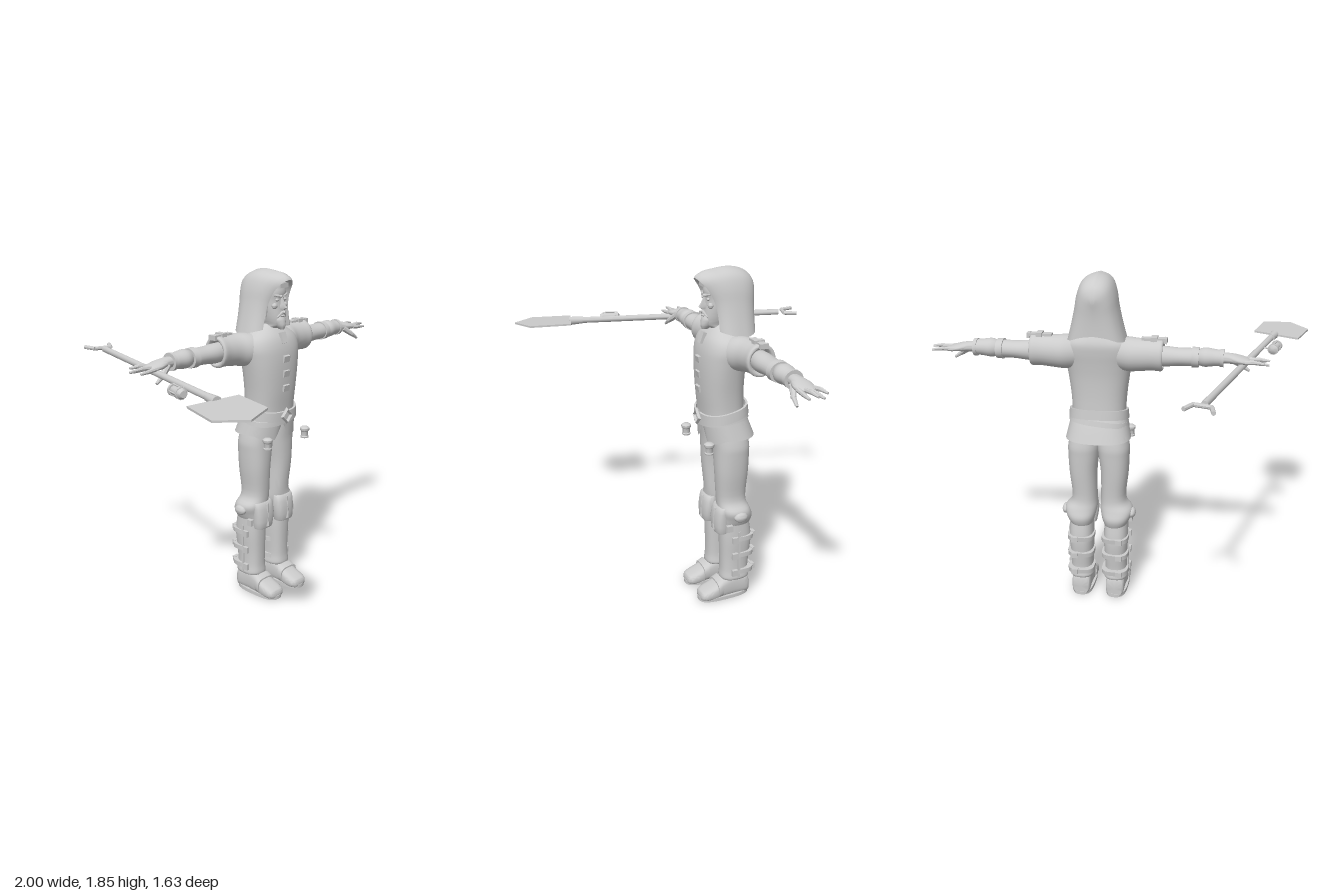
import * as THREE from 'three';
import { toCreasedNormals } from 'three/addons/utils/BufferGeometryUtils.js';

const V = (x, y, z) => new THREE.Vector3(x, y, z);

// Skin a list of rings (each a list of [x, y, z]); winding is set so faces point outward
function loft(rings, caps = true, closed = true) {
  const n = rings[0].length, pos = rings.flat(), idx = [];
  for (let r = 0; r < rings.length - 1; r++)
    for (let i = 0; i < (closed ? n : n - 1); i++) {
      const j = (i + 1) % n, a = r * n + i, b = r * n + j;
      idx.push([a, b, a + n], [b, b + n, a + n]);
    }
  if (caps) [0, rings.length - 1].forEach((r) => {
    const c = [0, 1, 2].map((k) => rings[r].reduce((s, p) => s + p[k], 0) / n);
    const ci = pos.push(c) - 1;
    for (let i = 0; i < n; i++) {
      const a = r * n + i, b = r * n + (i + 1) % n;
      idx.push(r ? [a, b, ci] : [b, a, ci]);
    }
  });
  const mid = new THREE.Vector3();
  pos.forEach((p) => mid.add(V(...p).divideScalar(pos.length)));
  const rel = pos.map((p) => V(...p).sub(mid));
  const vol = idx.reduce((s, [a, b, c]) => s + rel[a].dot(rel[b].clone().cross(rel[c])), 0);
  const g = new THREE.BufferGeometry();
  g.setAttribute('position', new THREE.Float32BufferAttribute(pos.flat(), 3));
  g.setIndex(idx.flatMap((t) => (vol < 0 ? [t[0], t[2], t[1]] : t)));
  return g;
}

// Catmull-Rom interpolation between rows of numbers
function smooth(rows, k = 4) {
  const out = [], at = (i) => rows[Math.max(0, Math.min(rows.length - 1, i))];
  for (let i = 0; i < rows.length - 1; i++)
    for (let s = 0; s < k; s++) {
      const t = s / k;
      out.push(rows[i].map((b, c) => {
        const a = at(i - 1)[c], d = at(i + 1)[c], e = at(i + 2)[c];
        return b + 0.5 * t * (d - a + t * (2 * a - 5 * b + 4 * d - e + t * (3 * (b - d) + e - a)));
      }));
    }
  out.push(at(rows.length - 1));
  return out;
}

// Rows are [position on axis, min, max, min, max] of the two other axes; p > 2 is boxier
function tube(axis, rows, p = 2, n = 28, k = 4, caps = true) {
  const f = (v) => Math.sign(v) * Math.abs(v) ** (2 / p);
  return loft((k > 1 ? smooth(rows, k) : rows).map(([t, a0, a1, b0, b1]) =>
    Array.from({ length: n }, (_, i) => {
      const w = (i / n) * Math.PI * 2;
      const a = (a0 + a1) / 2 + f(Math.cos(w)) * (a1 - a0) / 2;
      const b = (b0 + b1) / 2 + f(Math.sin(w)) * (b1 - b0) / 2;
      return axis === 'x' ? [t, a, b] : axis === 'y' ? [a, t, b] : [a, b, t];
    })), caps);
}
// Round tube along x: rows are [x, y, z, radiusY, radiusZ]
const arm = (rows, k = 4) => tube('x', rows.map(([x, y, z, r, q = r]) => [x, y - r, y + r, z - q, z + q]), 2, 24, k);
// Symmetric tube along y: rows are [y, halfWidth, zBack, zFront]
const trunk = (rows, p, n, k, caps) => tube('y', rows.map(([y, w, b, f]) => [y, -w, w, b, f]), p, n, k, caps);

function rod(a, b, r0, r1 = r0, sides = 12) {
  const d = b.clone().sub(a);
  const g = new THREE.CylinderGeometry(r1, r0, d.length(), sides);
  g.applyQuaternion(new THREE.Quaternion().setFromUnitVectors(V(0, 1, 0), d.normalize()));
  return g.translate((a.x + b.x) / 2, (a.y + b.y) / 2, (a.z + b.z) / 2);
}
const box = (w, h, d, x, y, z, rx = 0, rz = 0) =>
  new THREE.BoxGeometry(w, h, d).rotateX(rx).rotateZ(rz).translate(x, y, z);
const ball = (rx, ry, rz, x, y, z) => new THREE.SphereGeometry(1, 16, 12).scale(rx, ry, rz).translate(x, y, z);

function warp(g, rule) {
  const p = g.attributes.position;
  for (let i = 0; i < p.count; i++) p.setXYZ(i, ...rule(p.getX(i), p.getY(i), p.getZ(i)));
  return g;
}
function mirror(g) {
  const m = g.index ? g.toNonIndexed() : g.clone(), p = m.attributes.position;
  m.scale(-1, 1, 1);
  for (let i = 0; i < p.count; i += 3) {
    const a = [p.getX(i), p.getY(i), p.getZ(i)];
    p.setXYZ(i, p.getX(i + 1), p.getY(i + 1), p.getZ(i + 1));
    p.setXYZ(i + 1, ...a);
  }
  return m;
}

export function createModel() {
  const grey = new THREE.MeshStandardMaterial({ color: 0xcccccc, side: THREE.DoubleSide });
  grey.name = 'plainGrey';
  const root = new THREE.Group(), body = new THREE.Group(), shovel = new THREE.Group();
  root.name = 'hoodedDigger'; body.name = 'figure'; shovel.name = 'shovel';
  body.position.x = 0.11;
  root.add(body, shovel);
  const add = (name, g, parent = body) => {
    const m = new THREE.Mesh(toCreasedNormals(g, 0.75), grey);
    m.name = name;
    parent.add(m);
  };
  const pair = (name, g) => { add(name + 'Left', g); add(name + 'Right', mirror(g)); };

  // Jacket
  add('jacket', trunk([[1.02, .148, -.15, .07], [1.1, .144, -.148, .075], [1.2, .15, -.145, .084], [1.3, .163, -.147, .088],
    [1.38, .175, -.155, .086], [1.44, .182, -.163, .078], [1.49, .165, -.165, .06], [1.53, .11, -.15, .03], [1.56, .06, -.13, 0]], 2.4, 40));
  add('jacketSkirt', warp(trunk([[1.09, .147, -.152, .077], [1.03, .16, -.178, .073], [.96, .176, -.205, .064]], 2.4, 72, 6, false), (x, y, z) => {
    const k = Math.max(0, (1.06 - y) / .1), front = z > 0 ? 1 : 0;
    return [x, y + k * front * (Math.max(0, 1 - Math.abs(x) / .055) * .09 - .03 * Math.min(1, z / .05)), z];
  }));
  [1.38, 1.3, 1.22].forEach((y) => add('buttonFlap', box(.045, .035, .02, 0, y, .086, .2)));
  add('collarTab', box(.035, .06, .02, 0, 1.49, .066, -.35));

  // Belt, higher at the back, with a diamond buckle
  [[0, .026, .2, 0], [-.035, .013, .12, .1]].forEach(([dy, h, tz, tx], i) =>
    add('belt' + i, warp(trunk([[1.08 + dy - h, .148, -.165, .08], [1.08 + dy - h, .162, -.176, .09],
      [1.08 + dy + h, .158, -.17, .09], [1.08 + dy + h, .145, -.16, .08]], 2.4, 48, 1, false), (x, y, z) => [x, y - tz * z + tx * x, z])));
  add('buckle', new THREE.TorusGeometry(.036, .011, 4, 4).translate(0, 1.065, .095));

  // Hood: arches from the face opening to the back, with a lining at the front
  const arch = smooth([[1, 0], [.86, .25], [.74, .5], [.66, .7], [.52, .87], [.3, .96], [0, 1]], 3);
  const profile = [...arch, ...arch.slice(0, -1).reverse().map(([w, h]) => [-w, h])];
  const hoodRows = smooth([[.03, -.02, .095, 1.785, 1.54], [.108, .015, .105, 1.8, 1.54], [.06, -.015, .138, 1.83, 1.53], [0, -.05, .15, 1.84, 1.52],
    [-.07, -.09, .152, 1.846, 1.51], [-.14, -.135, .145, 1.832, 1.51], [-.19, -.175, .118, 1.8, 1.52], [-.212, -.197, .068, 1.755, 1.54], [-.216, -.202, 0, 1.72, 1.55]], 3);
  add('hood', loft(hoodRows.map(([zt, zb, w, top, bot]) =>
    profile.map(([u, h]) => [u * w, bot + (top - bot) * h, zb + (zt - zb) * h ** 3])), false, false));

  // Head and face
  add('head', trunk([[1.48, .05, -.1, .01], [1.53, .05, -.1, .015], [1.555, .042, -.09, .05], [1.58, .05, -.1, .056], [1.61, .058, -.11, .056],
    [1.65, .066, -.12, .052], [1.69, .07, -.13, .05], [1.73, .07, -.13, .056], [1.77, .064, -.12, .045], [1.79, .05, -.1, .02]], 2.3, 28));
  add('nose', loft([[.007, 1.705, .055], [.011, 1.67, .07], [.016, 1.65, .084], [.013, 1.638, .068]].map(([w, y, z]) =>
    [[-w, y, .03], [-w * .5, y, z], [w * .5, y, z], [w, y, .03]])));
  add('beard', trunk([[1.535, .01, .03, .068], [1.555, .024, .01, .074], [1.585, .033, 0, .07], [1.605, .024, .01, .062]], 2, 16));
  add('lips', ball(.017, .006, .008, 0, 1.607, .062));
  pair('moustache', rod(V(.002, 1.628, .064), V(.032, 1.6, .05), .009, .004, 8));
  pair('brow', rod(V(.01, 1.71, .06), V(.05, 1.718, .042), .008, .005, 8));
  pair('eye', ball(.012, .008, .008, .029, 1.692, .046));
  pair('cheek', ball(.018, .016, .014, .038, 1.66, .036));
  pair('sideHair', rod(V(.066, 1.74, .01), V(.068, 1.59, -.005), .014, .008, 8));
  add('headBand', trunk([[1.752, .073, -.12, .063], [1.782, .07, -.12, .06]], 2.3, 28, 1));
  add('bandPlate', box(.06, .024, .012, 0, 1.767, .064));

  // Arms
  pair('sleeve', arm([[.08, 1.43, -.05, .08], [.16, 1.432, -.075, .09], [.22, 1.436, -.092, .086, .08], [.29, 1.44, -.097, .082, .076],
    [.34, 1.441, -.098, .084, .078], [.345, 1.441, -.098, .066, .062], [.32, 1.441, -.098, .05]]));
  pair('underSleeve', arm([[.3, 1.437, -.1, .05], [.36, 1.436, -.1, .052, .056], [.43, 1.437, -.1, .046, .054], [.5, 1.438, -.1, .046, .053], [.53, 1.438, -.1, .04, .045]]));
  pair('sleeveCuff', arm([[.495, 1.438, -.1, .045], [.495, 1.438, -.1, .053, .06], [.53, 1.438, -.1, .051, .058], [.53, 1.438, -.1, .04]], 1));
  pair('bracer', arm([[.52, 1.44, -.1, .038], [.56, 1.441, -.1, .049, .054], [.61, 1.441, -.1, .043, .048], [.645, 1.44, -.1, .04, .044], [.65, 1.44, -.1, .03]]));
  pair('bracerRim', arm([[.637, 1.44, -.1, .03], [.637, 1.44, -.1, .046, .05], [.655, 1.44, -.1, .046, .05], [.655, 1.44, -.1, .03]], 1));
  pair('shoulderStrap', box(.125, .014, .036, .297, 1.524, -.1));
  pair('shoulderBuckle', box(.032, .022, .056, .3, 1.526, -.1));
  pair('strapTip', box(.016, .026, .046, .358, 1.519, -.1));

  // Hands
  pair('palm', arm([[.63, 1.44, -.1, .028, .032], [.68, 1.441, -.1, .027, .036], [.73, 1.437, -.1, .022, .05], [.775, 1.43, -.1, .016, .046], [.79, 1.428, -.1, .01, .038]]));
  [[.86, -.155], [.885, -.125], [.888, -.092], [.87, -.058]].forEach(([x, z], i) => {
    const z0 = -.138 + i * .026, y = 1.437 - (i % 2) * .012;
    pair('finger' + i, rod(V(.765, 1.431, z0), V(x - .05, y, (z0 + z) / 2), .012, .011, 8));
    pair('fingerTip' + i, rod(V(x - .052, y, (z0 + z) / 2), V(x, y - .004, z), .011, .006, 8));
  });
  pair('thumb', rod(V(.69, 1.43, -.075), V(.745, 1.39, -.05), .019, .014, 8));
  pair('thumbTip', rod(V(.743, 1.392, -.05), V(.787, 1.362, -.045), .013, .007, 8));

  // Trousers, gathered at the knee
  pair('trouserLeg', tube('y', [[1.02, 0, .14, -.14, .05], [.92, -.005, .166, -.16, .036], [.86, 0, .168, -.16, .032], [.75, .012, .163, -.155, .027], [.6, .012, .15, -.146, .015],
    [.54, .01, .188, -.162, .012], [.49, .02, .178, -.177, .004], [.44, .035, .155, -.16, 0], [.42, .05, .14, -.14, -.02]], 2.3, 32));

  // Greaves with knee plates, straps and buckles
  pair('greave', tube('y', [[.47, .035, .162, -.16, .004], [.36, .03, .166, -.175, .003], [.25, .034, .16, -.166, 0], [.17, .036, .16, -.158, 0], [.12, .03, .166, -.165, .004], [.11, .04, .15, -.15, -.01]], 2.5, 28));
  pair('kneePlate', tube('y', [[.41, .03, .142, -.04, .03], [.415, .026, .146, -.04, .036], [.49, .014, .15, -.04, .038], [.555, .02, .15, -.04, .024], [.56, .03, .14, -.04, .01]], 2.8, 24, 2));
  pair('kneeRidge', rod(V(.083, .42, .03), V(.083, .55, .022), .014, .012, 6));
  pair('kneeKnot', ball(.022, .028, .04, .186, .515, -.08));
  pair('kneeBuckle', box(.02, .036, .034, .17, .45, -.02));
  [.37, .27, .165].forEach((y, i) => {
    pair('strap' + i, tube('y', [[y - .013, .022, .172, -.182, -.035], [y + .013, .022, .172, -.185, -.035]], 3, 24, 1));
    pair('strapBuckle' + i, box(.018, .036, .032, .17, y, -.055));
    pair('strapStud' + i, box(.035, .03, .022, .125, y, -.18));
  });
  pair('sideSeam', box(.012, .29, .012, .164, .27, -.082));

  // Boots
  pair('boot', tube('z', [[-.158, .055, .14, .005, .1], [-.14, .045, .15, 0, .13], [-.07, .045, .15, 0, .14], [0, .042, .154, 0, .118], [.05, .036, .158, 0, .085],
    [.095, .038, .156, 0, .066], [.122, .05, .145, .004, .052], [.13, .07, .125, .012, .035]], 3, 28));
  pair('sole', tube('y', [[0, .036, .159, -.162, .134], [.02, .036, .159, -.162, .134]], 2.8, 32, 1));
  pair('bootStrap', tube('z', [[.005, .034, .161, .01, .122], [.035, .031, .164, .01, .104]], 3, 24, 1));

  // Small jars hanging at the hips
  pair('jar', new THREE.LatheGeometry([[0, 0], [.022, 0], [.024, .008], [.02, .012], [.02, .036], [.027, .044], [.027, .056], [.015, .065], [0, .066]]
    .map(([x, y]) => new THREE.Vector2(x, y)), 16).translate(.152, .906, .095));

  // Shovel
  const put = (name, g) => add(name, g, shovel);
  put('shaft', rod(V(-.49, 1.408, -.705), V(-.79, 1.408, .46), .017));
  put('socket', rod(V(-.785, 1.408, .43), V(-.803, 1.406, .51), .019, .024));
  put('blade', warp(loft([-.005, .005].map((y) =>
    [[-.936, y, .465], [-.69, y, .53], [-.743, y, .754], [-.898, y, .807], [-1, y, .684]])), (x, y, z) => [x, y + 1.395 + (x + 1) * .06, z]));
  const grip = [[-.537, -.82], [-.525, -.745], [-.44, -.72], [-.402, -.785]].map(([x, z]) => V(x, 1.41, z));
  grip.slice(1).forEach((b, i) => put('gripBar' + i, rod(grip[i], b, .011, .011, 8)));

  // Lantern beside the shaft
  const on = (t) => V(-.792 - t * .03, 1.404, .205 + t * .11);
  [[0, .08, .012, .026], [.08, .2, .03, .03], [.2, .72, .022, .022], [.72, .84, .03, .03], [.84, 1, .026, .016]].forEach(([a, b, r0, r1], i) =>
    put('lanternPart' + i, rod(on(a), on(b), r0, r1, 12)));
  [0, 1, 2, 3].forEach((i) => {
    const a = i * Math.PI / 2, o = V(Math.cos(a) * .027, Math.sin(a) * .027, 0);
    put('lanternBar' + i, rod(on(.15).add(o), on(.8).add(o), .004, .004, 6));
  });
  put('lanternHook', rod(on(.1), V(-.735, 1.408, .24), .005, .005, 6));
  return root;
}
